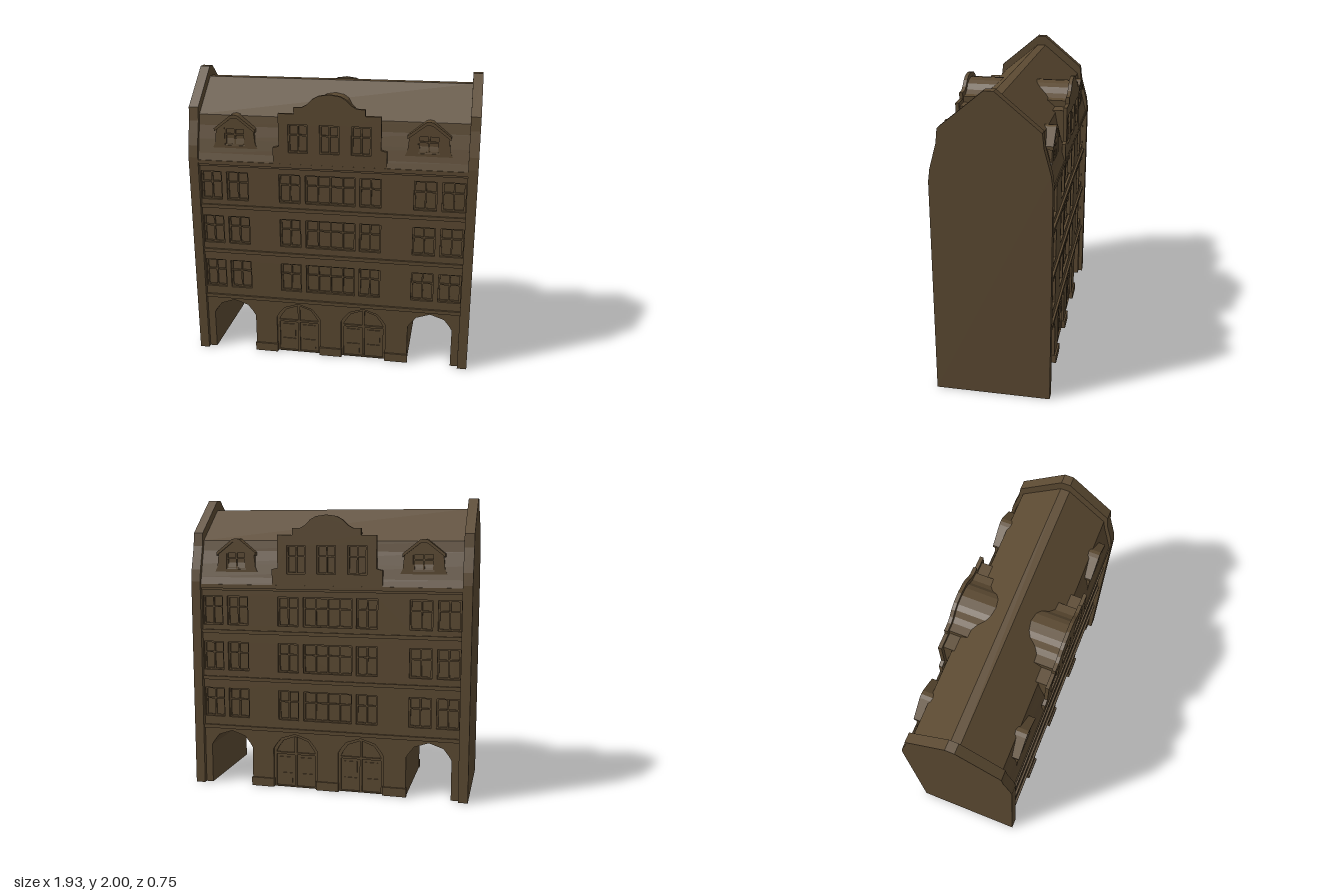
import * as THREE from 'three';

const material = new THREE.MeshStandardMaterial({ color: 0x5c4a32, roughness: 0.9, side: THREE.DoubleSide });

const V = (x, y) => new THREE.Vector2(x, y);
const toShape = (pts) => new THREE.Shape(pts.map(([x, y]) => V(x, y)));
const rect = (x0, y0, x1, y1) => [[x0, y0], [x1, y0], [x1, y1], [x0, y1]];
// full outline from the right half, listed bottom to top
const mirrored = (half) => [...half, ...half.filter(([x]) => x > 0).reverse().map(([x, y]) => [-x, y])];

function add(parent, name, geometry) {
  const mesh = new THREE.Mesh(geometry, material);
  mesh.name = name;
  parent.add(mesh);
  return mesh;
}

function slab(parent, name, outline, z0, z1, holes = []) {
  const shape = toShape(outline);
  holes.forEach((h) => shape.holes.push(new THREE.Path(h.map(([x, y]) => V(x, y)))));
  const g = new THREE.ExtrudeGeometry(shape, { depth: z1 - z0, bevelEnabled: false });
  return add(parent, name, g.translate(0, 0, z0));
}

function box(parent, name, x0, y0, x1, y1, z0, z1) {
  const g = new THREE.BoxGeometry(x1 - x0, y1 - y0, z1 - z0);
  return add(parent, name, g.translate((x0 + x1) / 2, (y0 + y1) / 2, (z0 + z1) / 2));
}

// extrude a (z, y) profile along x
function profileAlongX(parent, name, outline, x0, x1) {
  const g = new THREE.ExtrudeGeometry(toShape(outline), { depth: x1 - x0, bevelEnabled: false });
  return add(parent, name, g.rotateY(-Math.PI / 2).translate(x1, 0, 0));
}

// faceted arch from ground to ground, left to right
function arch(x0, x1, inset = 0) {
  const c = (x0 + x1) / 2, w = (x1 - x0) / 2 - inset;
  const curve = [[-1, 0], [-1, 0.275], [-0.88, 0.305], [-0.64, 0.352], [0, 0.385], [0.64, 0.352], [0.88, 0.305], [1, 0.275], [1, 0]];
  return curve.map(([u, y]) => [c + u * w, Math.max(0, y - (y ? inset : 0))]);
}

// casement inside an opening: frame, mullions and a transom
function casement(parent, [x0, y0, x1, y1], z, mullions, depth = 0.012) {
  const win = new THREE.Group();
  win.name = 'window';
  const f = 0.01, b = 0.005;
  slab(win, 'windowFrame', rect(x0, y0, x1, y1), z, z + depth, [rect(x0 + f, y0 + f, x1 - f, y1 - f)]);
  mullions.forEach((t) => {
    const x = x0 + (x1 - x0) * t;
    box(win, 'mullion', x - b, y0 + f, x + b, y1 - f, z, z + depth);
  });
  const y = y0 + (y1 - y0) * 0.62;
  box(win, 'transom', x0 + f, y - b, x1 - f, y + b, z, z + depth);
  parent.add(win);
}

const passages = [[-0.85, -0.545], [0.545, 0.85]];
const doors = [[-0.39, -0.075], [0.075, 0.39]];

function wallOutline(openings, top) {
  return [[-0.9, 0], ...openings.flatMap(([a, b]) => arch(a, b)), [0.9, 0], [0.9, top], [-0.9, top]];
}

function buildFacade() {
  const side = new THREE.Group();
  side.name = 'facade';

  // wall skin pierced by windows, doors and passages
  const columns = [[-0.895, -0.75], [-0.715, -0.565], [-0.35, -0.205], [-0.17, 0.17], [0.2, 0.345], [0.56, 0.71], [0.745, 0.895]];
  const rows = [[0.485, 0.69], [0.82, 1.02], [1.14, 1.34]];
  const wins = rows.flatMap(([y0, y1]) => columns.map(([x0, x1]) => [x0, y0, x1, y1]));
  slab(side, 'facadeWall', wallOutline([passages[0], ...doors, passages[1]], 1.42), 0.315, 0.343, wins.map((w) => rect(...w)));
  wins.forEach((w) => casement(side, w, 0.315, w[2] - w[0] > 0.2 ? [0.25, 0.5, 0.75] : [0.5]));

  // string courses and eaves cornice
  [[0.4, 0.425], [0.75, 0.775], [1.08, 1.105]].forEach(([a, b]) => box(side, 'stringCourse', -0.9, a, 0.9, b, 0.34, 0.357));
  box(side, 'corniceLower', -0.9, 1.38, 0.9, 1.395, 0.34, 0.355);
  box(side, 'corniceUpper', -0.9, 1.395, 0.9, 1.422, 0.34, 0.368);

  // plinth blocks between the arches
  [[-0.545, -0.39], [-0.075, 0.075], [0.39, 0.545]].forEach(([a, b]) => box(side, 'plinth', a - 0.004, 0, b + 0.004, 0.06, 0.32, 0.355));

  // arched double doors
  doors.forEach(([a, b]) => {
    const c = (a + b) / 2;
    slab(side, 'doorFrame', arch(a, b), 0.312, 0.328, [arch(a, b, 0.018).map(([x, y]) => [x, Math.max(y, 0.008)])]);
    box(side, 'doorTransom', a + 0.015, 0.235, b - 0.015, 0.25, 0.312, 0.328);
    box(side, 'doorCentre', c - 0.008, 0, c + 0.008, 0.365, 0.312, 0.328);
    [-1, 1].forEach((s) => [[0.03, 0.1], [0.12, 0.215]].forEach(([y0, y1]) => {
      const x = c + s * 0.073;
      box(side, 'doorPanel', x - 0.045, y0, x + 0.045, y1, 0.312, 0.322);
    }));
  });

  // stepped gable with its lower roof running back into the main roof
  const gable = mirrored([[0.38, 1.415], [0.38, 1.53], [0.34, 1.54], [0.34, 1.76], [0.235, 1.76], [0.235, 1.803], [0.18, 1.805],
    [0.145, 1.825], [0.11, 1.86], [0.07, 1.882], [0, 1.892]]);
  const gableWins = [-0.21, 0, 0.21].map((x) => [x - 0.065, 1.5, x + 0.065, 1.69]);
  slab(side, 'gable', gable, 0.343, 0.367, gableWins.map((w) => rect(...w)));
  gableWins.forEach((w) => casement(side, w, 0.343, [0.5], 0.014));
  slab(side, 'gableRoof', mirrored([[0.315, 1.42], [0.315, 1.735], [0.215, 1.735], [0.215, 1.775], [0.16, 1.778],
    [0.125, 1.8], [0.095, 1.835], [0.06, 1.853], [0, 1.862]]), 0.06, 0.344);

  // dormers with flared cheeks and a pitched roof
  [-0.645, 0.645].forEach((x) => {
    const dormer = new THREE.Group();
    dormer.name = 'dormer';
    const win = [-0.07, 1.525, 0.07, 1.645];
    const front = mirrored([[0.155, 1.505], [0.138, 1.54], [0.128, 1.63], [0.025, 1.71], [0, 1.712]]);
    slab(dormer, 'dormerBody', front, 0.18, 0.322);
    slab(dormer, 'dormerFace', front, 0.32, 0.338, [rect(...win)]);
    casement(dormer, win, 0.322, [0.5], 0.01);
    slab(dormer, 'dormerRoof', [[-0.14, 1.618], [-0.02, 1.71], [0.02, 1.71], [0.14, 1.618], [0.14, 1.64],
      [0.025, 1.73], [0, 1.735], [-0.025, 1.73], [-0.14, 1.64]], 0.18, 0.347);
    dormer.position.x = x;
    side.add(dormer);
  });
  return side;
}

export function createModel() {
  const house = new THREE.Group();
  house.name = 'townhouse';

  // core with two passages running through
  slab(house, 'core', wallOutline(passages, 1.42), -0.316, 0.316);

  // bell-cast roof
  profileAlongX(house, 'roof', mirrored([[0.362, 1.42], [0.347, 1.47], [0.325, 1.56], [0.3, 1.65], [0.288, 1.72], [0.03, 1.932]]), -0.9, 0.9);

  // raised party walls at both ends
  const party = mirrored([[0.373, 0], [0.373, 1.44], [0.362, 1.52], [0.34, 1.6], [0.318, 1.68], [0.308, 1.77], [0.03, 2]]);
  profileAlongX(house, 'partyWall', party, 0.9, 0.965);
  profileAlongX(house, 'partyWall', party, -0.965, -0.9);

  // identical front and back
  const front = buildFacade();
  front.name = 'frontFacade';
  const back = front.clone();
  back.name = 'backFacade';
  back.rotation.y = Math.PI;
  house.add(front, back);
  return house;
}
